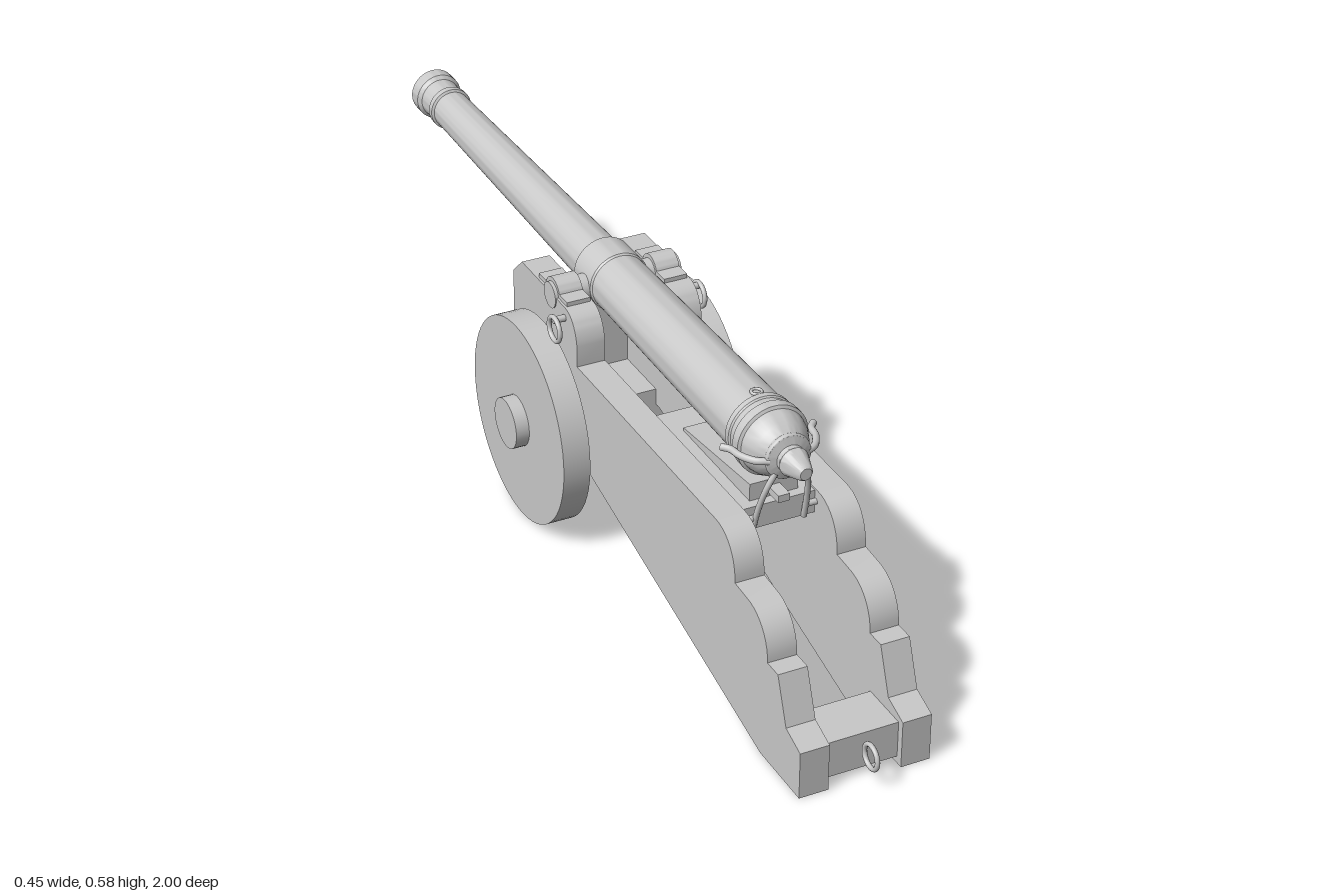
import * as THREE from 'three';
import { toCreasedNormals } from 'three/addons/utils/BufferGeometryUtils.js';

export function createModel() {
  const model = new THREE.Group();
  const grey = new THREE.MeshStandardMaterial({ color: 0xc8c8c8 });
  grey.name = 'plain grey';
  const AXIS_Y = 0.509, WHEEL_Y = 0.215, WHEEL_Z = -0.125, TRUNNION_Z = -0.1;

  const add = (name, geometry, x = 0, y = 0, z = 0) => {
    const mesh = new THREE.Mesh(geometry, grey);
    mesh.name = name;
    mesh.position.set(x, y, z);
    model.add(mesh);
    return mesh;
  };
  // box given by its limits on each axis
  const box = (name, x0, x1, y0, y1, z0, z1) =>
    add(name, new THREE.BoxGeometry(x1 - x0, y1 - y0, z1 - z0), (x0 + x1) / 2, (y0 + y1) / 2, (z0 + z1) / 2);
  // cylinder lying along x
  const rod = (name, r, x0, x1, y, z, sides = 32) =>
    add(name, new THREE.CylinderGeometry(r, r, x1 - x0, sides).rotateZ(Math.PI / 2), (x0 + x1) / 2, y, z);
  // extrude a (z, y) outline along x
  const slab = (name, shape, x0, x1) => {
    const g = new THREE.ExtrudeGeometry(shape, { depth: x1 - x0, bevelEnabled: false, curveSegments: 10 });
    return add(name, toCreasedNormals(g.rotateY(-Math.PI / 2), 0.5), x1);
  };
  const tube = (name, points, r) => add(name, new THREE.TubeGeometry(
    new THREE.CatmullRomCurve3(points.map(p => new THREE.Vector3(...p))), 24, r, 10));
  const ring = (name, r, t, x, y, z) =>
    add(name, new THREE.TorusGeometry(r, t, 10, 28).rotateY(Math.PI / 2), x, y, z);

  // Barrel with open bore, from the muzzle (-z) to the cascabel (+z)
  const profile = [
    [0, -0.7], [0.023, -0.7], [0.023, -1], [0.046, -1], [0.05, -0.995], [0.05, -0.965], [0.043, -0.957],
    [0.041, -0.915], [0.046, -0.912], [0.046, -0.898], [0.041, -0.895], [0.053, -0.148],
    [0.063, -0.145], [0.063, -0.072], [0.06, -0.068], [0.066, 0.515],
    [0.07, 0.518], [0.07, 0.53], [0.067, 0.533], [0.068, 0.548], [0.073, 0.552], [0.073, 0.572],
    [0.067, 0.575], [0.064, 0.59], [0.056, 0.608], [0.045, 0.622], [0.044, 0.635], [0.028, 0.64],
    [0.027, 0.648], [0.03, 0.654], [0.026, 0.665], [0.016, 0.695], [0.012, 0.7], [0, 0.7]
  ].map(p => new THREE.Vector2(...p));
  const barrel = new THREE.LatheGeometry(profile, 48).rotateX(Math.PI / 2);
  add('barrel', toCreasedNormals(barrel, 0.5), 0, AXIS_Y, 0);
  add('vent', new THREE.TorusGeometry(0.01, 0.003, 8, 20).rotateX(Math.PI / 2), 0, AXIS_Y + 0.067, 0.505);
  rod('trunnions', 0.027, -0.137, 0.137, 0.5, TRUNNION_Z);

  // Stepped cheek outline
  const cheek = new THREE.Shape();
  cheek.moveTo(0.8, 0);
  cheek.lineTo(0.95, 0);
  cheek.lineTo(0.95, 0.1);
  cheek.lineTo(0.895, 0.12);
  cheek.lineTo(0.86, 0.215);
  cheek.lineTo(0.82, 0.215);
  cheek.bezierCurveTo(0.82, 0.265, 0.785, 0.305, 0.735, 0.305);
  cheek.lineTo(0.69, 0.308);
  cheek.bezierCurveTo(0.69, 0.36, 0.66, 0.4, 0.61, 0.4);
  cheek.lineTo(0.02, 0.4);
  cheek.lineTo(0.02, 0.445);
  cheek.bezierCurveTo(0.015, 0.48, -0.005, 0.505, -0.035, 0.505);
  cheek.lineTo(-0.235, 0.505);
  cheek.lineTo(-0.278, 0.465);
  cheek.lineTo(-0.278, 0.215);
  cheek.lineTo(-0.045, 0.215);

  // Trunnion cap outline: an arch between two flat ears
  const cap = new THREE.Shape();
  cap.moveTo(-0.165, 0.5);
  cap.lineTo(-0.035, 0.5);
  cap.lineTo(-0.035, 0.514);
  cap.lineTo(TRUNNION_Z + 0.031, 0.514);
  cap.absarc(TRUNNION_Z, 0.504, 0.032, 0.32, Math.PI - 0.32, false);
  cap.lineTo(-0.165, 0.514);

  // Mirrored parts
  for (const s of [1, -1]) {
    const side = s > 0 ? 'left' : 'right';
    const span = (a, b) => (s > 0 ? [a, b] : [-b, -a]);
    slab(side + 'Cheek', cheek, ...span(0.075, 0.135));
    slab(side + 'TrunnionCap', cap, ...span(0.08, 0.13));
    rod(side + 'Wheel', 0.215, ...span(0.141, 0.198), WHEEL_Y, WHEEL_Z, 64);
    rod(side + 'AxleEnd', 0.053, ...span(0.135, 0.226), WHEEL_Y, WHEEL_Z);
    // ring bolt on the outer cheek face
    rod(side + 'RingBolt', 0.007, ...span(0.13, 0.16), 0.482, -0.035, 12);
    ring(side + 'BoltRing', 0.025, 0.005, s * 0.157, 0.462, -0.035);
    // breech lashing and its eyebolt
    tube(side + 'BreechHandle', [[s * 0.038, AXIS_Y, 0.632], [s * 0.06, AXIS_Y, 0.62],
      [s * 0.078, AXIS_Y, 0.59], [s * 0.083, AXIS_Y, 0.565], [s * 0.095, AXIS_Y, 0.55]], 0.007);
    tube(side + 'BreechStay', [[s * 0.027, 0.482, 0.634], [s * 0.042, 0.45, 0.63],
      [s * 0.05, 0.4, 0.615], [s * 0.053, 0.347, 0.6]], 0.006);
    rod(side + 'Eyebolt', 0.006, ...span(0.05, 0.08), 0.375, 0.605, 12);
  }
  add('breechCollar', new THREE.TorusGeometry(0.041, 0.006, 10, 32), 0, AXIS_Y, 0.63);

  // Cross members
  box('axleBeam', -0.141, 0.141, 0.18, 0.25, -0.19, -0.06);
  box('frontTransom', -0.075, 0.075, 0.25, 0.445, -0.255, -0.19);
  box('rearTransom', -0.075, 0.075, 0.015, 0.092, 0.83, 0.935);
  box('elevationBed', -0.075, 0.075, 0.348, 0.396, 0.24, 0.6);

  // Elevating wedge with its small grip
  const wedge = new THREE.Shape();
  wedge.moveTo(0.31, 0.396);
  wedge.lineTo(0.58, 0.396);
  wedge.lineTo(0.58, 0.432);
  wedge.lineTo(0.31, 0.402);
  slab('wedge', wedge, -0.05, 0.05);
  box('wedgeGrip', -0.012, 0.012, 0.404, 0.419, 0.58, 0.62);

  // Trail ring
  ring('trailRing', 0.024, 0.005, 0, 0.062, 0.969);
  return model;
}
